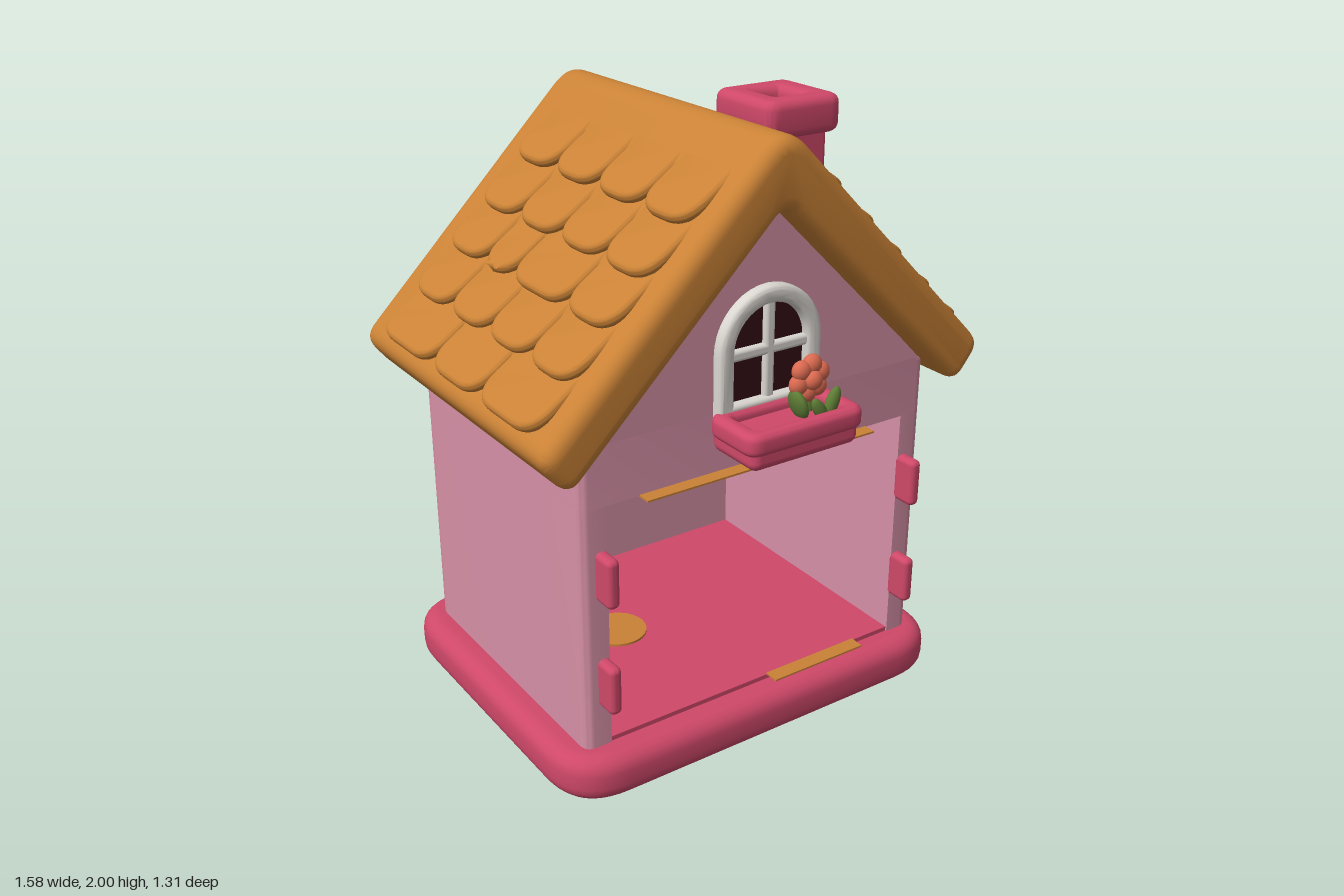
import * as THREE from 'three';
import { toCreasedNormals } from 'three/addons/utils/BufferGeometryUtils.js';
import { RoundedBoxGeometry } from 'three/addons/geometries/RoundedBoxGeometry.js';

const paint = (name, color) => {
  const m = new THREE.MeshStandardMaterial({ color });
  m.name = name;
  return m;
};

// Closed outline with rounded corners; each point is [x, y, cornerCut]
function outline(points, Type = THREE.Shape) {
  const path = new Type();
  const n = points.length;
  points.forEach(([x, y, r = 0], i) => {
    const p = new THREE.Vector2(x, y);
    const toward = (q) => new THREE.Vector2(q[0], q[1]).sub(p).setLength(r).add(p);
    const a = toward(points[(i + n - 1) % n]);
    const b = toward(points[(i + 1) % n]);
    if (i === 0) path.moveTo(a.x, a.y);
    else path.lineTo(a.x, a.y);
    if (r > 0) path.quadraticCurveTo(x, y, b.x, b.y);
  });
  return path;
}

const rect = (w, h, r, Type) => outline(
  [[-w / 2, -h / 2, r], [w / 2, -h / 2, r], [w / 2, h / 2, r], [-w / 2, h / 2, r]], Type);

function arch(w, bottom, spring, Type = THREE.Shape) {
  const path = new Type();
  path.moveTo(-w, bottom);
  path.lineTo(w, bottom);
  path.lineTo(w, spring);
  path.absarc(0, spring, w, 0, Math.PI, false);
  return path;
}

// Extrusion from z = 0 to z = depth, its edges rounded inside the outline
function slab(shape, depth, bevel = 0) {
  const geo = new THREE.ExtrudeGeometry(shape, {
    depth: depth - 2 * bevel, curveSegments: 10, bevelEnabled: bevel > 0,
    bevelThickness: bevel, bevelSize: bevel, bevelOffset: -bevel, bevelSegments: 5,
  });
  geo.translate(0, 0, bevel);
  return toCreasedNormals(geo, 0.6);
}

// Same, standing upright: outline y becomes world -z
const upright = (shape, height, bevel) => slab(shape, height, bevel).rotateX(-Math.PI / 2);

export function createModel() {
  const model = new THREE.Group();
  model.name = 'toyHouse';
  const pink = paint('wallPink', 0xd690a6);
  const crimson = paint('crimson', 0xcf4869);
  const orange = paint('roofOrange', 0xca8236);
  const white = paint('windowWhite', 0xdad6d0);
  const dark = paint('darkPane', 0x330d14);
  const coral = paint('flowerCoral', 0xdb6a50);
  const green = paint('leafGreen', 0x5e7d35);

  const add = (name, geo, mat, x = 0, y = 0, z = 0, parent = model) => {
    const mesh = new THREE.Mesh(geo, mat);
    mesh.name = name;
    mesh.position.set(x, y, z);
    parent.add(mesh);
    return mesh;
  };

  // Base tray, feet and interior floor
  add('base', upright(rect(1.46, 1.18, 0.2), 0.155, 0.055), crimson, 0, 0.05, -0.06);
  const footProfile = [[0, 0], [0.07, 0.003], [0.092, 0.015], [0.1, 0.035], [0.1, 0.07]]
    .map(([x, y]) => new THREE.Vector2(x, y));
  for (const x of [-0.53, 0.53])
    for (const z of [0.33, -0.43])
      add('foot', new THREE.LatheGeometry(footProfile, 28), orange, x, 0, z);
  add('floor', new THREE.BoxGeometry(1.11, 0.03, 0.94), crimson, 0, 0.205, -0.035);
  add('floorDisc', new THREE.CylinderGeometry(0.1, 0.1, 0.008, 28), orange, -0.22, 0.224, -0.06);

  // Walls open at the front, with a closed upper storey and gable
  const walls = outline([[-0.64, -0.44, 0.04], [-0.55, -0.44], [-0.55, 0.5], [0.55, 0.5],
    [0.55, -0.44], [0.64, -0.44, 0.04], [0.64, 0.57, 0.07], [-0.64, 0.57, 0.07]]);
  add('walls', upright(walls, 0.82), pink, 0, 0.195, 0);
  const upper = outline([[-0.64, -0.44, 0.04], [0.64, -0.44, 0.04],
    [0.64, 0.57, 0.07], [-0.64, 0.57, 0.07]]);
  add('upperWalls', upright(upper, 0.19), pink, 0, 1.01, 0);
  add('gable', slab(outline([[-0.62, 1.19], [0.62, 1.19], [0, 1.82]]), 1.01), pink, 0, 0, -0.57);

  // Thin trim along the opening and the hinges at its sides
  add('topTrim', new THREE.BoxGeometry(0.84, 0.006, 0.05), orange, -0.02, 1.01, 0.46);
  add('bottomTrim', new THREE.BoxGeometry(0.36, 0.006, 0.05), orange, 0.22, 0.224, 0.46);
  for (const x of [-0.57, 0.57])
    for (const y of [0.43, 0.79])
      add('hinge', new RoundedBoxGeometry(0.042, 0.16, 0.09, 3, 0.018), crimson, x, y, 0.467);

  // Roof chevron
  const roof = outline([[0, 2.04, 0.11], [-0.805, 1.235, 0.055], [-0.705, 1.11, 0.055],
    [0, 1.8, 0.04], [0.705, 1.11, 0.055], [0.805, 1.235, 0.055]]);
  add('roof', slab(roof, 1.18, 0.045), orange, 0, 0, -0.65);

  // Rows of overlapping shingles: distance out from the ridge, then the seams along z
  const seams = [0.45, 0.205, -0.04, -0.285, -0.53];
  const rows = [
    [0.28, seams], [0.41, seams], [0.53, [0.45, 0.2, -0.11, -0.285, -0.53]],
    [0.655, seams], [0.775, [0.45, 0.12, -0.18, -0.53]],
  ];
  for (const s of [1, -1]) {
    const side = new THREE.Group();
    side.name = s > 0 ? 'leftShingles' : 'rightShingles';
    const k = Math.SQRT1_2;
    side.quaternion.setFromRotationMatrix(new THREE.Matrix4().makeBasis(
      new THREE.Vector3(0, 0, -s), new THREE.Vector3(-s * k, k, 0), new THREE.Vector3(s * k, k, 0)));
    side.position.y = 2.04;
    model.add(side);
    for (const [out, cuts] of rows) {
      for (let i = 0; i < cuts.length - 1; i++) {
        const w = cuts[i] - cuts[i + 1] - 0.004;
        const shape = outline([[-w / 2, 0, 0.1], [w / 2, 0, 0.1], [w / 2, 0.22], [-w / 2, 0.22]]);
        const tile = add('shingle', slab(shape, 0.042, 0.018), orange,
          -s * (cuts[i] + cuts[i + 1]) / 2, -out / k, 0, side);
        tile.rotation.x = -0.19;
      }
    }
  }

  // Chimney with a hollow cap
  add('chimneyStack', new RoundedBoxGeometry(0.205, 0.6, 0.24, 3, 0.018), crimson, 0.382, 1.6, -0.02);
  const cap = rect(0.29, 0.3, 0.05);
  cap.holes.push(rect(0.1, 0.12, 0.006, THREE.Path));
  add('chimneyCap', upright(cap, 0.12, 0.03), crimson, 0.377, 1.87, -0.02);

  // Arched window
  add('windowPane', slab(arch(0.165, 1.21, 1.385), 0.008), dark, 0, 0, 0.438);
  const frame = arch(0.185, 1.18, 1.38);
  frame.holes.push(arch(0.13, 1.225, 1.38, THREE.Path));
  add('windowFrame', slab(frame, 0.055, 0.018), white, 0, 0, 0.42);
  add('windowBar', new RoundedBoxGeometry(0.036, 0.33, 0.03, 3, 0.012), white, 0, 1.365, 0.45);
  add('windowBar', new RoundedBoxGeometry(0.29, 0.036, 0.03, 3, 0.012), white, 0, 1.37, 0.45);

  // Flower box under the window
  const rim = rect(0.42, 0.22, 0.05);
  rim.holes.push(rect(0.31, 0.12, 0.02, THREE.Path));
  add('flowerBoxRim', upright(rim, 0.07, 0.022), crimson, 0, 1.14, 0.55);
  add('flowerBox', new RoundedBoxGeometry(0.39, 0.09, 0.21, 4, 0.03), crimson, 0, 1.135, 0.545);

  // Flower with petals round a centre, on a stem with leaves
  const ball = (name, mat, r, scale, x, y, z, tilt = 0) => {
    const m = add(name, new THREE.SphereGeometry(r, 16, 12), mat, x, y, z);
    m.scale.set(...scale);
    m.rotation.z = tilt;
  };
  for (let i = 0; i < 6; i++) {
    const a = (i / 6) * Math.PI * 2 + 0.3;
    ball('petal', coral, 0.032, [1, 1, 0.8], 0.085 + 0.04 * Math.cos(a), 1.285 + 0.042 * Math.sin(a), 0.54);
  }
  ball('flowerCentre', coral, 0.03, [1, 1, 0.8], 0.085, 1.285, 0.56);
  add('stem', new THREE.CylinderGeometry(0.012, 0.012, 0.12, 10), green, 0.09, 1.22, 0.535);
  ball('leaf', green, 0.05, [0.45, 1, 0.35], 0.125, 1.22, 0.6, -0.4);
  ball('leaf', green, 0.045, [0.45, 1, 0.35], 0.075, 1.21, 0.605, 0.6);
  ball('leaf', green, 0.05, [0.4, 1, 0.8], 0.04, 1.215, 0.55, 0.3);
  return model;
}
